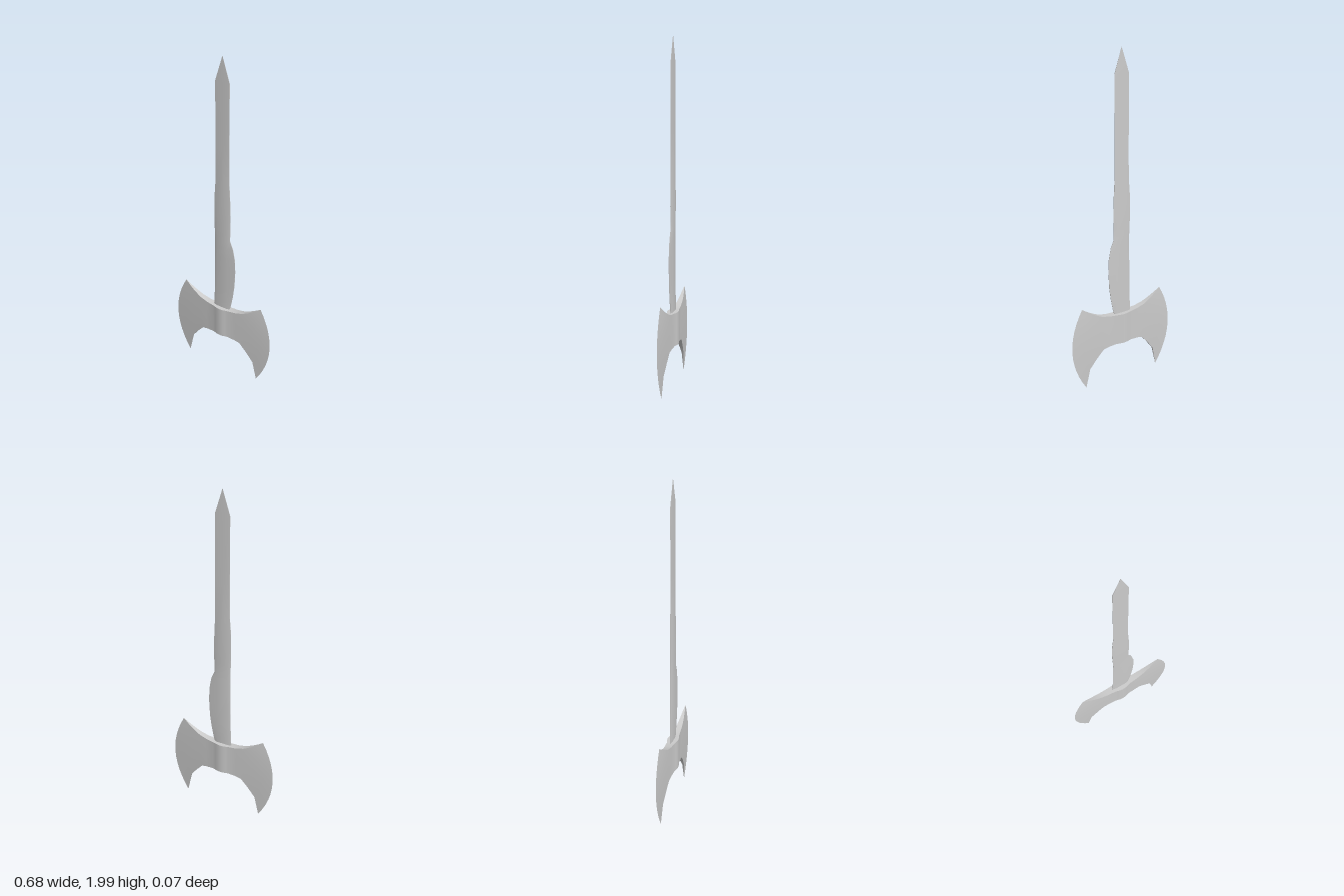
import * as THREE from 'three';
import { toCreasedNormals } from 'three/addons/utils/BufferGeometryUtils.js';

const lerp = THREE.MathUtils.lerp;

// Skin a list of closed rings, each with the same number of points
function loft(rings, crease) {
  const n = rings[0].length, index = [];
  for (let k = 0; k < rings.length - 1; k++) {
    for (let j = 0; j < n; j++) {
      const a = k * n + j, b = k * n + (j + 1) % n;
      index.push(a, a + n, b, b, a + n, b + n);
    }
  }
  const geometry = new THREE.BufferGeometry();
  geometry.setAttribute('position', new THREE.Float32BufferAttribute(rings.flat(2), 3));
  geometry.setIndex(index);
  return toCreasedNormals(geometry, crease);
}

// Double-bitted head: columns from the hub out to the curved cutting edge
function headGeometry() {
  // [top x, top y, bottom x, bottom y, half thickness, bulge of the column]
  const half = [
    [0, 0.445, 0, 0.253, 0.033, 0],
    [0.02, 0.445, 0.02, 0.253, 0.031, 0],
    [0.035, 0.445, 0.035, 0.253, 0.027, 0],
    [0.05, 0.445, 0.05, 0.253, 0.023, 0],
    [0.1, 0.45, 0.1, 0.249, 0.0195, 0.003],
    [0.15, 0.463, 0.135, 0.24, 0.016, 0.012],
    [0.195, 0.485, 0.18, 0.19, 0.0115, 0.027],
    [0.235, 0.51, 0.225, 0.13, 0.006, 0.05],
    [0.27, 0.535, 0.25, 0.008, 0, 0.08],
  ];
  const steps = 12;
  const column = ([tx, ty, bx, by, z, bulge], side) => {
    const front = [];
    for (let i = 0; i <= steps; i++) {
      const v = i / steps;
      front.push([side * (lerp(bx, tx, v) + bulge * 4 * v * (1 - v)), lerp(by, ty, v), z]);
    }
    return [...front, ...front.map(([x, y, d]) => [x, y, -d]).reverse()];
  };
  const left = half.slice(1).reverse().map((c) => column(c, -1));
  return loft([...left, ...half.map((c) => column(c, 1))], 0.5);
}

// Flat shaft with a raised core that narrows to a point, and a side swelling
function shaftGeometry() {
  // [y, right-hand x, left-hand x]
  const outline = [
    [0.35, -0.055, 0.045], [0.445, -0.06, 0.052], [0.47, -0.057, 0.06], [0.54, -0.055, 0.074],
    [0.62, -0.053, 0.085], [0.72, -0.052, 0.09], [0.8, -0.051, 0.087], [0.87, -0.05, 0.074],
    [0.92, -0.05, 0.053], [0.98, -0.053, 0.053], [1.06, -0.055, 0.055], [1.17, -0.054, 0.052],
    [1.28, -0.046, 0.046], [1.48, -0.045, 0.045], [1.86, -0.045, 0.045], [2, 0, 0],
  ];
  const rings = outline.map(([y, x0, x1]) => {
    const core = y < 1.48 ? Math.min(0.035, 0.002 + (1.48 - y) * 0.07) : 0.002;
    const inner = y === 2 ? 0 : core;
    const mid = y < 1.48 ? 0.0065 : y < 2 ? 0.004 : 0.0005;
    const edge = y < 2 ? 0.0015 : 0.0005;
    const front = [[x1, y, edge], [inner, y, mid], [-inner, y, mid], [x0, y, edge]];
    return [...front, ...front.map(([x, h, z]) => [x, h, -z]).reverse()];
  });
  return loft(rings, 0.4);
}

export function createModel() {
  const group = new THREE.Group();
  group.name = 'doubleAxe';
  const material = new THREE.MeshStandardMaterial({ color: 0xcccccc, side: THREE.DoubleSide });
  const add = (name, geometry) => {
    const mesh = new THREE.Mesh(geometry, material);
    mesh.name = name;
    group.add(mesh);
  };
  add('axeHead', headGeometry());
  add('shaft', shaftGeometry());
  return group;
}
